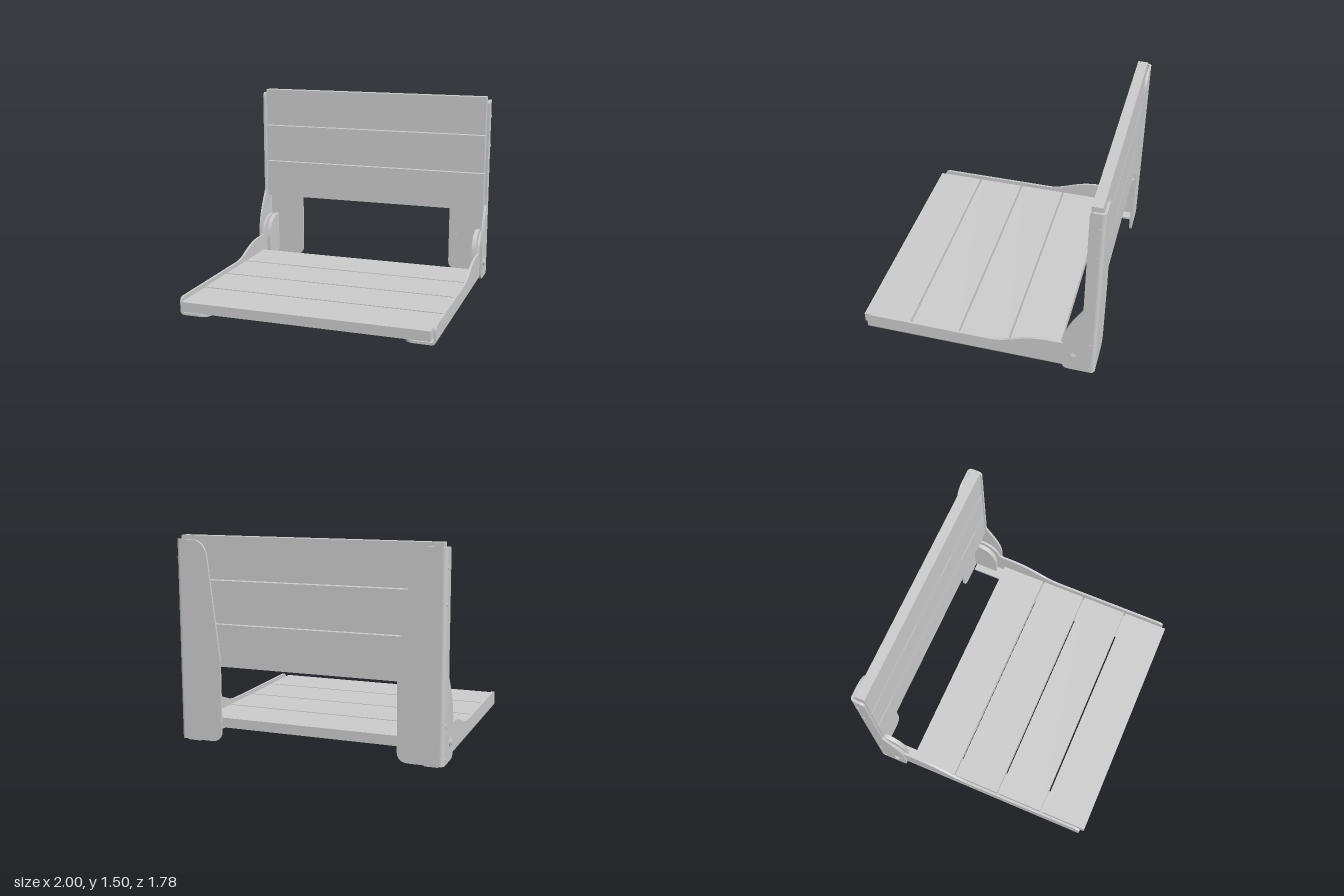
import * as THREE from 'three';

const material = new THREE.MeshStandardMaterial({ color: 0xcccccc, side: THREE.DoubleSide });

function extrude(shape, depth) {
  return new THREE.ExtrudeGeometry(shape, { depth, bevelEnabled: false, curveSegments: 16 });
}

// Plate drawn in (z, y), filling x from outer - t to outer
function sidePlate(shape, outer, t) {
  return extrude(shape, t).rotateY(-Math.PI / 2).translate(outer, 0, 0);
}

// Quarter ring that joins two sheets of a folded bracket
function bend(cx, cy, a0, a1, length) {
  const s = new THREE.Shape();
  s.absarc(cx, cy, 0.03, a0, a1, false);
  s.absarc(cx, cy, 0.012, a1, a0, true);
  s.closePath();
  return extrude(s, length);
}

function mirrored(geo) {
  const g = geo.index ? geo.toNonIndexed() : geo.clone();
  g.scale(-1, 1, 1);
  for (const attr of Object.values(g.attributes)) {
    const n = attr.itemSize, a = attr.array;
    for (let i = 0; i < attr.count; i += 3) {
      for (let k = 0; k < n; k++) {
        const p = (i + 1) * n + k, q = (i + 2) * n + k;
        [a[p], a[q]] = [a[q], a[p]];
      }
    }
  }
  return g;
}

// Disc with its axis along x
function disc(r, x0, x1, y, z, sides = 24) {
  return new THREE.CylinderGeometry(r, r, x1 - x0, sides)
    .rotateZ(Math.PI / 2).translate((x0 + x1) / 2, y, z);
}

export function createModel() {
  const model = new THREE.Group();
  model.name = 'foldingSeat';
  const add = (name, geo) => {
    const mesh = new THREE.Mesh(geo, material);
    mesh.name = name;
    model.add(mesh);
  };
  const addPair = (name, geo) => {
    add(name + 'Left', geo);
    add(name + 'Right', mirrored(geo));
  };

  // Seat slats, rear to front
  for (let i = 0; i < 4; i++) {
    add('seatSlat' + (i + 1), new THREE.BoxGeometry(1.86, 0.075, 0.362)
      .translate(0, 0.073, -0.426 + i * 0.377));
  }

  // Back slats, bottom to top
  for (let i = 0; i < 3; i++) {
    add('backSlat' + (i + 1), new THREE.BoxGeometry(1.91, 0.305, 0.075)
      .translate(0, 0.717 + i * 0.313, -0.824));
  }

  // Seat bracket: side sheet with a raised hinge end
  const seatSide = new THREE.Shape();
  seatSide.moveTo(-0.865, 0.03);
  seatSide.lineTo(0.855, 0.03);
  seatSide.lineTo(0.855, 0.095);
  seatSide.quadraticCurveTo(0.855, 0.135, 0.81, 0.135);
  seatSide.lineTo(-0.1, 0.135);
  seatSide.bezierCurveTo(-0.26, 0.135, -0.33, 0.235, -0.56, 0.235);
  seatSide.lineTo(-0.66, 0.235);
  seatSide.quadraticCurveTo(-0.69, 0.385, -0.83, 0.385);
  seatSide.lineTo(-0.865, 0.385);
  seatSide.closePath();
  addPair('seatBracketSide', sidePlate(seatSide, 0.96, 0.018));
  addPair('seatBracketBend',
    bend(0.93, 0.03, -Math.PI / 2, 0, 1.72).translate(0, 0, -0.865));

  // Seat bracket: bottom flange, narrower at the rear, drawn in (x, -z)
  const seatFlange = new THREE.Shape();
  seatFlange.moveTo(0.93, -0.855);
  seatFlange.lineTo(0.93, 0.865);
  seatFlange.lineTo(0.845, 0.865);
  seatFlange.lineTo(0.845, 0.56);
  seatFlange.bezierCurveTo(0.845, 0.4, 0.735, 0.22, 0.735, 0.02);
  seatFlange.lineTo(0.735, -0.78);
  seatFlange.quadraticCurveTo(0.735, -0.855, 0.81, -0.855);
  seatFlange.closePath();
  addPair('seatBracketFlange', extrude(seatFlange, 0.018).rotateX(-Math.PI / 2));

  // Back bracket: side sheet
  const backSide = new THREE.Shape();
  backSide.moveTo(-0.86, 0.015);
  backSide.lineTo(-0.7, 0.015);
  backSide.quadraticCurveTo(-0.65, 0.015, -0.65, 0.065);
  backSide.lineTo(-0.65, 0.27);
  backSide.bezierCurveTo(-0.65, 0.4, -0.72, 0.51, -0.783, 0.61);
  backSide.lineTo(-0.783, 1.435);
  backSide.quadraticCurveTo(-0.783, 1.468, -0.815, 1.468);
  backSide.lineTo(-0.86, 1.468);
  backSide.closePath();
  addPair('backBracketSide', sidePlate(backSide, 0.985, 0.018));
  addPair('backBracketBend',
    bend(0.955, 0.86, 0, Math.PI / 2, 1.453).rotateX(-Math.PI / 2).translate(0, 0.015, 0));

  // Back bracket: wall flange, tapering towards the top
  const backFlange = new THREE.Shape();
  backFlange.moveTo(0.955, 0.015);
  backFlange.lineTo(0.955, 1.468);
  backFlange.lineTo(0.86, 1.468);
  backFlange.quadraticCurveTo(0.76, 1.46, 0.745, 1.34);
  backFlange.lineTo(0.66, 0.62);
  backFlange.lineTo(0.66, 0.095);
  backFlange.quadraticCurveTo(0.66, 0.015, 0.74, 0.015);
  backFlange.closePath();
  addPair('backBracketFlange', extrude(backFlange, 0.018).translate(0, 0, -0.89));

  // Inner hinge stop with a rounded top
  const stop = new THREE.Shape();
  stop.moveTo(-0.872, 0.04);
  stop.lineTo(-0.675, 0.04);
  stop.lineTo(-0.675, 0.18);
  stop.bezierCurveTo(-0.675, 0.29, -0.73, 0.385, -0.83, 0.385);
  stop.lineTo(-0.872, 0.385);
  stop.closePath();
  addPair('hingeStop', sidePlate(stop, 0.926, 0.034));

  // Pivot bolt: pin, washer and head
  addPair('pivotPin', disc(0.02, 0.9, 0.985, 0.145, -0.725));
  addPair('pivotWasher', disc(0.031, 0.984, 0.991, 0.145, -0.725));
  addPair('pivotHead', disc(0.02, 0.99, 1.0, 0.145, -0.725));

  // Small rivets on the side sheets
  for (const [y, z] of [[1.335, -0.853], [1.095, -0.853], [0.285, -0.843], [0.05, -0.843]]) {
    addPair('sideRivet', disc(0.014, 0.98, 0.989, y, z, 16));
  }

  // Wall screw buttons on the flanges
  addPair('wallScrew', new THREE.CylinderGeometry(0.02, 0.02, 0.006, 20)
    .rotateX(Math.PI / 2).translate(0.71, 0.315, -0.87));

  return model;
}
